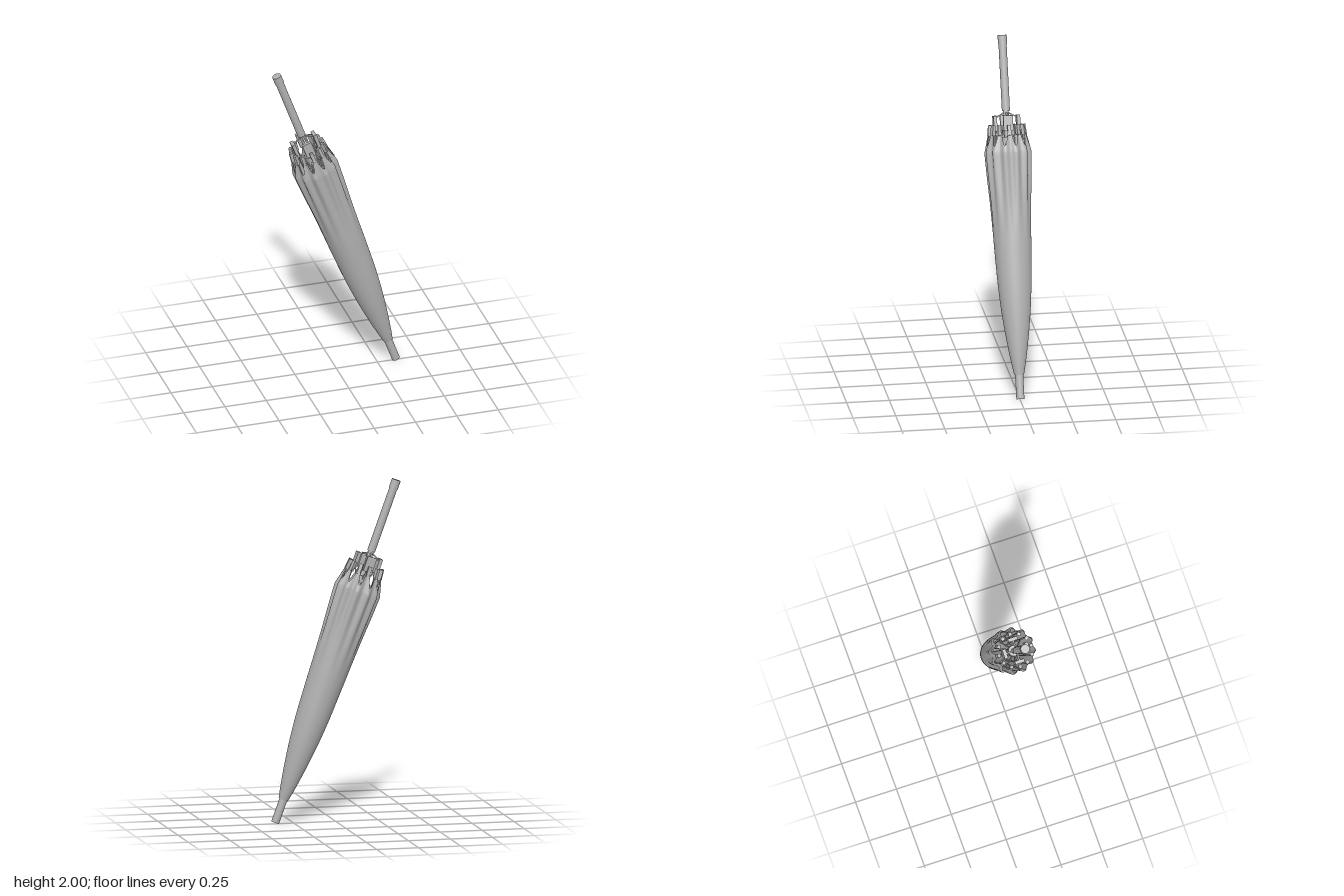
import * as THREE from 'three';

const RIBS = 12;
const TILT = THREE.MathUtils.degToRad(20);

// Closed canopy: [distance along the shaft, radius]
const PROFILE = [
  [0.14, 0.028], [0.2, 0.04], [0.3, 0.057], [0.46, 0.079], [0.63, 0.095],
  [0.84, 0.106], [1.0, 0.113], [1.15, 0.121], [1.3, 0.131], [1.43, 0.138],
];

function canopyGeometry() {
  const cols = RIBS * 12;
  const body = 40;
  const rim = 8;
  const curve = new THREE.CatmullRomCurve3(PROFILE.map(([a, r]) => new THREE.Vector3(r, a, 0)));
  const positions = [];
  const index = [];
  for (let j = 0; j <= body + rim; j++) {
    const p = curve.getPoint(Math.min(j / body, 1));
    const v = Math.max(0, (j - body) / rim);
    // Pleats deepen toward the open end
    const depth = 0.13 * THREE.MathUtils.smoothstep(p.y, 0.85, 1.43);
    for (let i = 0; i < cols; i++) {
      const t = (i / cols) * Math.PI * 2;
      const tip = Math.pow(Math.abs(Math.cos((t * RIBS) / 2)), 2);
      const pleated = p.x * (1 - depth * tip);
      // Scalloped edge: long points at the ribs, shallow between them
      const r = THREE.MathUtils.lerp(pleated, THREE.MathUtils.lerp(0.128, 0.1, tip), v);
      const y = p.y + v * (0.04 + 0.11 * tip);
      positions.push(r * Math.cos(t), y, r * Math.sin(t));
      if (j < body + rim) {
        const a = j * cols + i;
        const b = j * cols + ((i + 1) % cols);
        index.push(a, a + cols, b, b, a + cols, b + cols);
      }
    }
  }
  const g = new THREE.BufferGeometry();
  g.setAttribute('position', new THREE.Float32BufferAttribute(positions, 3));
  g.setIndex(index);
  g.computeVertexNormals();
  return g;
}

export function createModel() {
  const model = new THREE.Group();
  model.name = 'closedUmbrella';
  const gray = new THREE.MeshStandardMaterial({ color: 0xb0b0b0, side: THREE.DoubleSide });
  gray.name = 'gray';

  const umbrella = new THREE.Group();
  umbrella.name = 'umbrella';
  umbrella.position.set(0.361, 0.008, 0);
  umbrella.rotation.z = TILT;
  model.add(umbrella);

  const add = (parent, name, geometry) => {
    const mesh = new THREE.Mesh(geometry, gray);
    mesh.name = name;
    parent.add(mesh);
    return mesh;
  };
  const rod = (name, r, from, to) => {
    const mesh = add(umbrella, name, new THREE.CylinderGeometry(r, r, to - from, 28));
    mesh.position.y = (from + to) / 2;
  };
  // Square bar in the radial plane, between two [radius, height] points
  const bar = (parent, name, [r0, y0], [r1, y1], radial, tangential) => {
    const length = Math.hypot(r1 - r0, y1 - y0);
    const mesh = add(parent, name, new THREE.BoxGeometry(radial, length, tangential));
    mesh.position.set((r0 + r1) / 2, (y0 + y1) / 2, 0);
    mesh.rotation.z = Math.atan2(r0 - r1, y1 - y0);
  };
  const spoke = (name, angle) => {
    const group = new THREE.Group();
    group.name = name;
    group.rotation.y = -angle;
    umbrella.add(group);
    return group;
  };

  // Shaft, tip and handle
  rod('ferrule', 0.0235, 0, 0.16);
  rod('shaft', 0.016, 0.15, 1.68);
  rod('runner', 0.032, 1.42, 1.52);
  rod('handle', 0.0235, 1.67, 2.06);
  rod('handleCap', 0.0265, 2.055, 2.11);

  add(umbrella, 'canopy', canopyGeometry());

  // Ribs inside the canopy, each with a square end at a canopy point
  for (let i = 0; i < RIBS; i++) {
    const rib = spoke('rib', (i / RIBS) * Math.PI * 2);
    bar(rib, 'ribBar', [0.06, 0.7], [0.105, 1.46], 0.008, 0.008);
    bar(rib, 'ribShoulder', [0.105, 1.46], [0.1, 1.55], 0.008, 0.008);
    bar(rib, 'ribEnd', [0.105, 1.53], [0.098, 1.59], 0.02, 0.02);
    bar(rib, 'stretcher', [0.03, 1.49], [0.09, 1.3], 0.007, 0.007);
  }

  // Four plates around the shaft, held by thin arms
  for (let i = 0; i < 4; i++) {
    const clip = spoke('clip', (i * Math.PI) / 2);
    bar(clip, 'clipPlate', [0.068, 1.555], [0.068, 1.645], 0.02, 0.056);
    bar(clip, 'clipArm', [0.012, 1.66], [0.064, 1.632], 0.007, 0.01);
    bar(clip, 'clipBrace', [0.03, 1.5], [0.064, 1.565], 0.007, 0.01);
  }
  return model;
}
